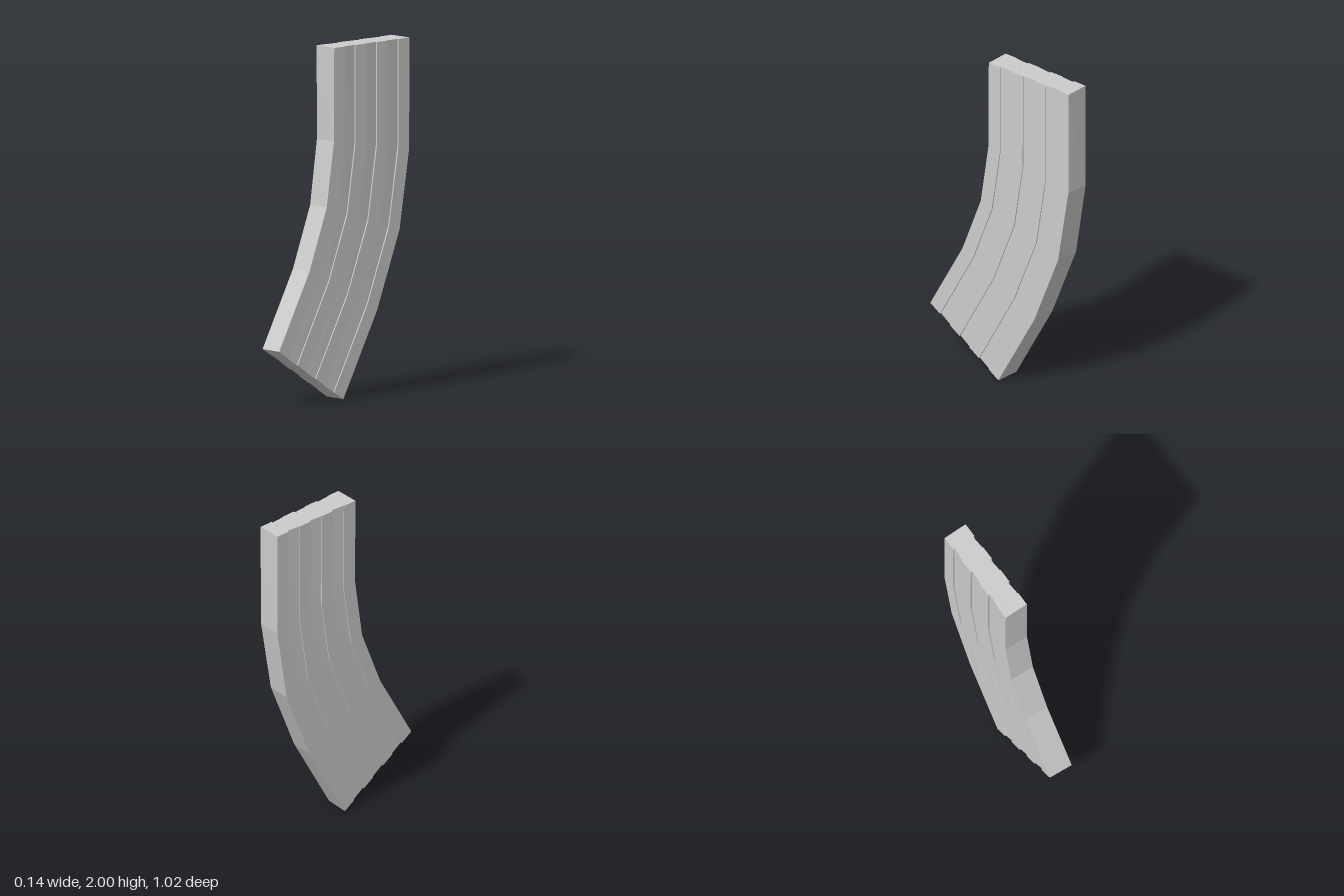
import * as THREE from 'three';

const HALF_WIDTH = 0.072;
const BANDS = 7; // alternating ridges and grooves across each side

// Stations from top to bottom: front edge, back edge, sideways skew in z,
// and groove depth at its front and back walls.
const STATIONS = [
  { front: [2.0, 0.08], back: [2.0, -0.508], skew: 0.001, depth: [0.004, 0.01] },
  { front: [1.47, 0.08], back: [1.37, -0.508], skew: 0.003, depth: [0.005, 0.009] },
  { front: [1.1, 0.135], back: [0.92, -0.435], skew: 0.005, depth: [0.007, 0.008] },
  { front: [0.75, 0.27], back: [0.48, -0.26], skew: 0.005, depth: [0.008, 0.007] },
  { front: [0.32, 0.507], back: [0.0, 0.005], skew: 0.005, depth: [0.009, 0.006] },
];

// One side of a cross-section, front to back, with a step at every groove wall
function sidePoints({ front, back, skew, depth }, side) {
  const points = [];
  for (let band = 0; band < BANDS; band++) {
    for (const end of [0, 1]) {
      const t = (band + end) / BANDS;
      const inset = band % 2 ? depth[end] : 0;
      points.push(new THREE.Vector3(
        side * (HALF_WIDTH - inset),
        THREE.MathUtils.lerp(front[0], back[0], t),
        THREE.MathUtils.lerp(front[1], back[1], t) + side * skew,
      ));
    }
  }
  return points;
}

function ribbedBody() {
  const positions = [];
  const quad = (a, b, c, d) => {
    for (const p of [a, b, c, a, c, d]) positions.push(p.x, p.y, p.z);
  };
  const sections = STATIONS.map((s) => ({ left: sidePoints(s, 1), right: sidePoints(s, -1) }));

  // Walls between neighbouring stations
  const rings = sections.map((s) => [...s.left, ...s.right.slice().reverse()]);
  for (let j = 0; j < rings.length - 1; j++) {
    const upper = rings[j];
    const lower = rings[j + 1];
    for (let i = 0; i < upper.length; i++) {
      const k = (i + 1) % upper.length;
      quad(upper[i], lower[i], lower[k], upper[k]);
    }
  }

  // End caps, one strip per band
  const top = sections[0];
  const bottom = sections[sections.length - 1];
  for (let i = 0; i < BANDS * 2; i += 2) {
    quad(top.left[i], top.left[i + 1], top.right[i + 1], top.right[i]);
    quad(bottom.left[i], bottom.right[i], bottom.right[i + 1], bottom.left[i + 1]);
  }

  const geometry = new THREE.BufferGeometry();
  geometry.setAttribute('position', new THREE.Float32BufferAttribute(positions, 3));
  geometry.computeVertexNormals();
  return geometry;
}

export function createModel() {
  const group = new THREE.Group();
  group.name = 'curvedMagazine';
  const material = new THREE.MeshStandardMaterial({ color: 0xcccccc, flatShading: true });
  const body = new THREE.Mesh(ribbedBody(), material);
  body.name = 'ribbedBody';
  group.add(body);
  return group;
}
